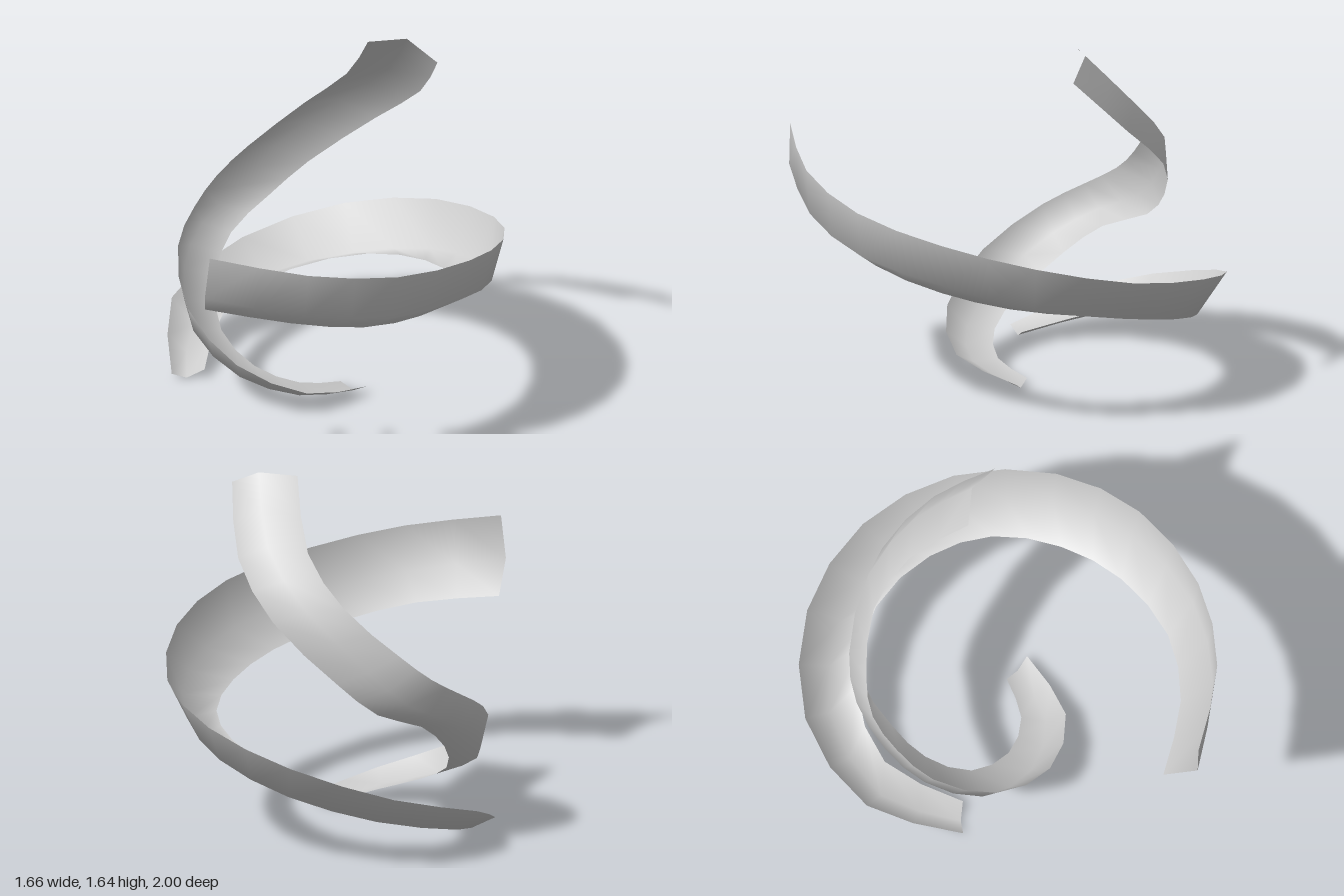
import * as THREE from 'three';

const SEGMENTS = 20;

// Each station is a three-point trough section: [upper edge], [crease], [lower edge]
const wideSections = [
  [[0.0, 1.11, 0.99], [-0.02, 0.91, 1.0], [-0.09, 0.78, 0.86]],
  [[0.4, 1.03, 0.8], [0.38, 0.82, 0.79], [0.26, 0.72, 0.7]],
  [[0.69, 0.95, 0.48], [0.665, 0.74, 0.47], [0.5, 0.645, 0.45]],
  [[0.83, 0.88, 0.05], [0.78, 0.67, 0.04], [0.61, 0.58, 0.11]],
  [[0.78, 0.79, -0.38], [0.73, 0.58, -0.36], [0.59, 0.525, -0.21]],
  [[0.53, 0.68, -0.77], [0.48, 0.49, -0.69], [0.46, 0.48, -0.5]],
  [[0.13, 0.59, -0.98], [0.16, 0.4, -0.86], [0.23, 0.435, -0.68]],
  [[-0.32, 0.48, -0.96], [-0.22, 0.3, -0.85], [-0.09, 0.37, -0.745]],
  [[-0.7, 0.34, -0.69], [-0.57, 0.2, -0.65], [-0.42, 0.275, -0.61]],
  [[-0.83, 0.2, -0.25], [-0.72, 0.09, -0.25], [-0.6, 0.155, -0.32]],
  [[-0.63, 0.03, 0.14], [-0.58, 0.0, 0.09], [-0.51, 0.04, 0.05]],
];

const tallSections = [
  [[0.1, 1.63, -0.37], [0.25, 1.64, -0.46], [0.41, 1.56, -0.45]],
  [[-0.1, 1.35, -0.55], [0.06, 1.37, -0.64], [0.22, 1.29, -0.65]],
  [[-0.33, 1.14, -0.58], [-0.21, 1.13, -0.7], [-0.05, 1.06, -0.74]],
  [[-0.55, 0.93, -0.46], [-0.49, 0.88, -0.6], [-0.35, 0.81, -0.66]],
  [[-0.65, 0.81, -0.35], [-0.61, 0.71, -0.47], [-0.49, 0.66, -0.54]],
  [[-0.685, 0.71, -0.19], [-0.68, 0.6, -0.26], [-0.56, 0.56, -0.31]],
  [[-0.67, 0.6, 0.0], [-0.665, 0.47, -0.05], [-0.55, 0.42, -0.13]],
  [[-0.5, 0.42, 0.23], [-0.51, 0.28, 0.16], [-0.43, 0.25, 0.04]],
  [[-0.21, 0.24, 0.315], [-0.24, 0.14, 0.23], [-0.23, 0.14, 0.1]],
  [[0.08, 0.11, 0.19], [0.01, 0.06, 0.13], [-0.04, 0.07, 0.03]],
  [[0.22, 0.04, -0.13], [0.15, 0.005, -0.13], [0.08, 0.03, -0.14]],
];

// Sweeps a smooth strip along the three edge curves running through the stations
function ribbonGeometry(sections) {
  const curves = [0, 1, 2].map(
    (k) => new THREE.CatmullRomCurve3(sections.map((s) => new THREE.Vector3(...s[k])))
  );
  const positions = [];
  const index = [];
  for (let i = 0; i <= SEGMENTS; i++) {
    for (const curve of curves) positions.push(...curve.getPoint(i / SEGMENTS).toArray());
  }
  for (let i = 0; i < SEGMENTS; i++) {
    for (let k = 0; k < 2; k++) {
      const a = i * 3 + k;
      const b = a + 3;
      index.push(a, a + 1, b, a + 1, b + 1, b);
    }
  }
  const geometry = new THREE.BufferGeometry();
  geometry.setAttribute('position', new THREE.Float32BufferAttribute(positions, 3));
  geometry.setIndex(index);
  geometry.computeVertexNormals();
  return geometry;
}

export function createModel() {
  const group = new THREE.Group();
  group.name = 'spiralRibbons';

  const paleGrey = new THREE.MeshStandardMaterial({ color: 0xcccccc, side: THREE.DoubleSide });
  paleGrey.name = 'paleGrey';

  // Wide low swirl, and the narrower swirl that climbs through it
  const parts = { wideRibbon: wideSections, tallRibbon: tallSections };
  for (const [name, sections] of Object.entries(parts)) {
    const mesh = new THREE.Mesh(ribbonGeometry(sections), paleGrey);
    mesh.name = name;
    group.add(mesh);
  }
  return group;
}
